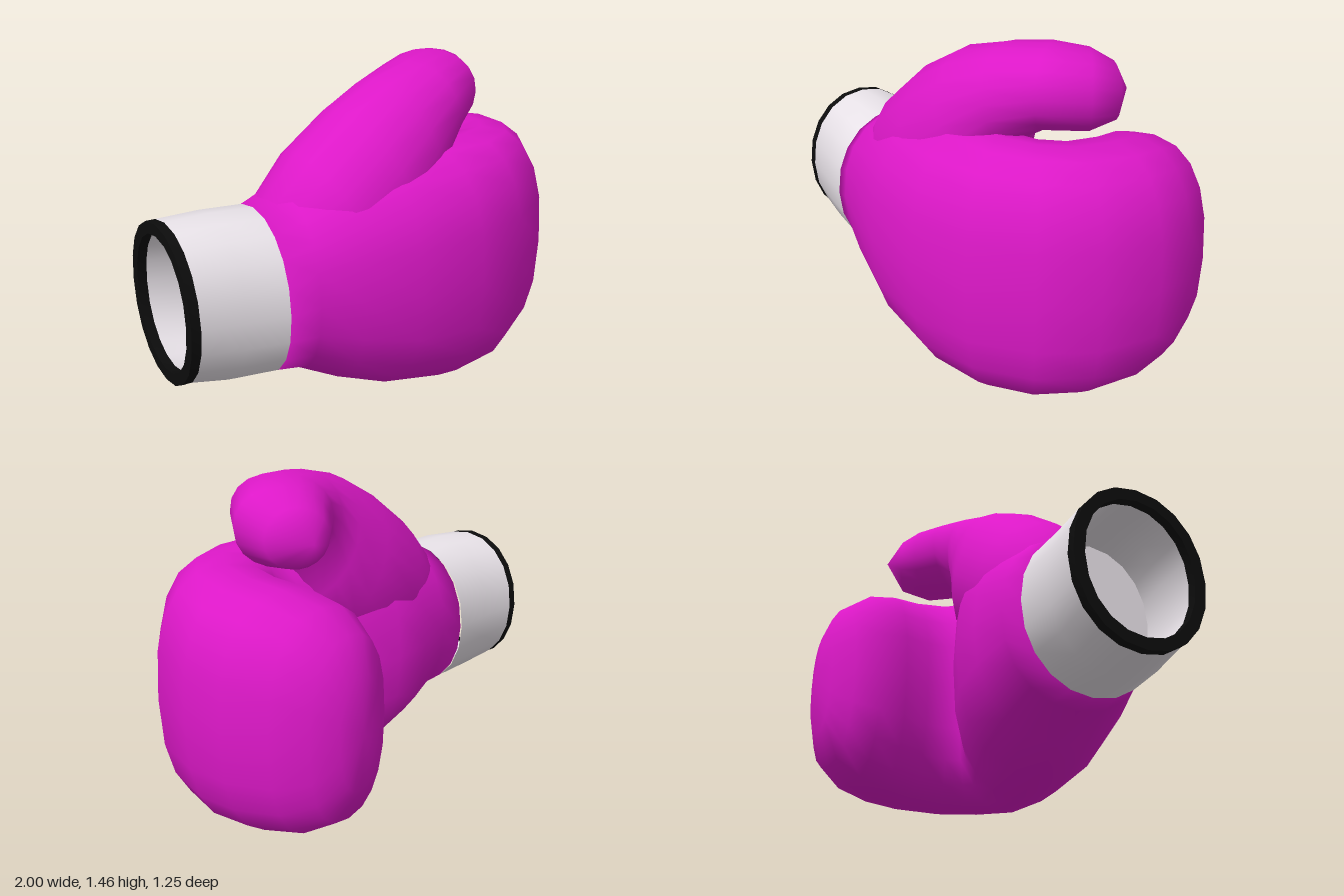
import * as THREE from 'three';
import { mergeVertices, toCreasedNormals } from 'three/addons/utils/BufferGeometryUtils.js';

const SIDES = 20;
const leather = new THREE.MeshStandardMaterial({ color: 0xdd18c8 });
const white = new THREE.MeshStandardMaterial({ color: 0xe8e2e8 });
const black = new THREE.MeshStandardMaterial({ color: 0x0c0c0c });

// Skin over rings; each ring is { c: centre, u, v: half axes, n: roundness exponent }
function loft(rings) {
  const pos = [], index = [];
  for (const { c, u, v, n = 2 } of rings) {
    for (let i = 0; i < SIDES; i++) {
      const t = (i / SIDES) * Math.PI * 2;
      const bulge = (k) => Math.sign(k) * Math.pow(Math.abs(k), 2 / n);
      const a = bulge(Math.cos(t)), b = bulge(Math.sin(t));
      for (let k = 0; k < 3; k++) pos.push(c[k] + u[k] * a + v[k] * b);
    }
  }
  for (let j = 0; j < rings.length - 1; j++) {
    for (let i = 0; i < SIDES; i++) {
      const a = j * SIDES + i, b = j * SIDES + (i + 1) % SIDES;
      index.push(a, a + SIDES, b, b, a + SIDES, b + SIDES);
    }
  }
  let g = new THREE.BufferGeometry();
  g.setAttribute('position', new THREE.Float32BufferAttribute(pos, 3));
  g.setIndex(index);
  g = mergeVertices(g, 1e-4);
  g.computeVertexNormals();
  return g;
}

const pole = (c) => ({ c, u: [0, 0, 0], v: [0, 0, 0] });

function part(name, geometry, material) {
  const mesh = new THREE.Mesh(geometry, material);
  mesh.name = name;
  return mesh;
}

// Hand and curled fist: outer x,z / inner x,z / bottom y, top y / exponent
function fist() {
  const stations = [
    [-0.60, 0.49, -0.58, -0.15, 0.22, 0.94, 2.1],
    [-0.48, 0.52, -0.44, -0.16, 0.21, 1.00, 2.2],
    [-0.30, 0.57, -0.27, -0.20, 0.12, 1.06, 2.3],
    [-0.05, 0.62, -0.10, -0.20, 0.04, 1.10, 2.4],
    [0.27, 0.62, 0.10, -0.12, 0.00, 1.12, 2.5],
    [0.55, 0.54, 0.27, 0.00, 0.00, 1.12, 2.5],
    [0.80, 0.39, 0.33, 0.02, 0.02, 1.12, 2.5],
    [0.95, 0.18, 0.36, -0.03, 0.03, 1.11, 2.5],
    [1.00, -0.08, 0.36, -0.13, 0.04, 1.10, 2.5],
    [0.97, -0.27, 0.31, -0.26, 0.05, 1.08, 2.5],
    [0.88, -0.45, 0.28, -0.39, 0.08, 1.03, 2.5],
    [0.77, -0.56, 0.32, -0.51, 0.15, 0.94, 2.4],
    [0.66, -0.61, 0.42, -0.59, 0.30, 0.80, 2.2],
  ];
  const rings = stations.map(([ox, oz, ix, iz, lo, hi, n]) => ({
    c: [(ox + ix) / 2, (lo + hi) / 2, (oz + iz) / 2],
    u: [(ox - ix) / 2, 0, (oz - iz) / 2],
    v: [0, (hi - lo) / 2, 0],
    n,
  }));
  return loft([pole([-0.59, 0.58, 0.17]), ...rings, pole([0.55, 0.56, -0.63])]);
}

// Thumb: rises out of the hand and curls back over the fist
function thumb() {
  return loft([
    pole([-0.54, 0.68, 0.17]),
    { c: [-0.49, 0.70, 0.17], u: [0, 0, 0.24], v: [-0.06, 0.25, 0] },
    { c: [-0.22, 0.83, 0.16], u: [0, 0, 0.33], v: [-0.16, 0.30, 0] },
    { c: [0.00, 0.98, 0.15], u: [0, 0, 0.32], v: [-0.17, 0.31, 0] },
    { c: [0.14, 1.12, 0.14], u: [0.03, 0, 0.27], v: [-0.12, 0.27, 0] },
    { c: [0.27, 1.24, 0.10], u: [0.08, 0, 0.22], v: [-0.05, 0.20, 0], n: 2.1 },
    { c: [0.40, 1.285, 0.02], u: [0.13, 0, 0.18], v: [0, 0.175, 0], n: 2.2 },
    { c: [0.50, 1.27, -0.11], u: [0.155, 0, 0.12], v: [0, 0.165, 0], n: 2.2 },
    { c: [0.52, 1.25, -0.22], u: [0.12, 0, 0.06], v: [0, 0.125, 0] },
    pole([0.51, 1.24, -0.31]),
  ]);
}

// Oval cuff ring at x, shrunk by inset
const oval = (x, y, z, ry, rz, inset = 0) => ({
  c: [x, y, z], u: [0, 0, rz - inset], v: [0, ry - inset, 0], n: 2.1,
});

export function createModel() {
  const model = new THREE.Group();
  model.name = 'boxingGlove';
  const wall = 0.05;
  const end = (x, inset) => oval(x, 0.60, 0.14, 0.34, 0.30, inset);
  const middle = (inset) => oval(-0.78, 0.59, 0.16, 0.36, 0.305, inset);
  const wrist = (x, inset) => oval(x, 0.58, 0.17, 0.36, 0.32, inset);

  model.add(part('fist', fist(), leather));
  model.add(part('thumb', thumb(), leather));
  model.add(part('cuff', loft([end(-0.96, 0), middle(0), wrist(-0.59, 0)]), white));

  // Hollow inside of the cuff, closed at the wrist
  const lining = loft([pole([-0.62, 0.58, 0.17]), wrist(-0.62, wall), middle(wall), end(-0.96, wall)]);
  model.add(part('cuffLining', toCreasedNormals(lining, 0.9), white));

  // Dark band round the opening
  const rim = loft([end(-0.96, wall), end(-1, wall), end(-1, 0), end(-0.96, 0)]);
  model.add(part('cuffRim', toCreasedNormals(rim, 0.9), black));
  return model;
}
